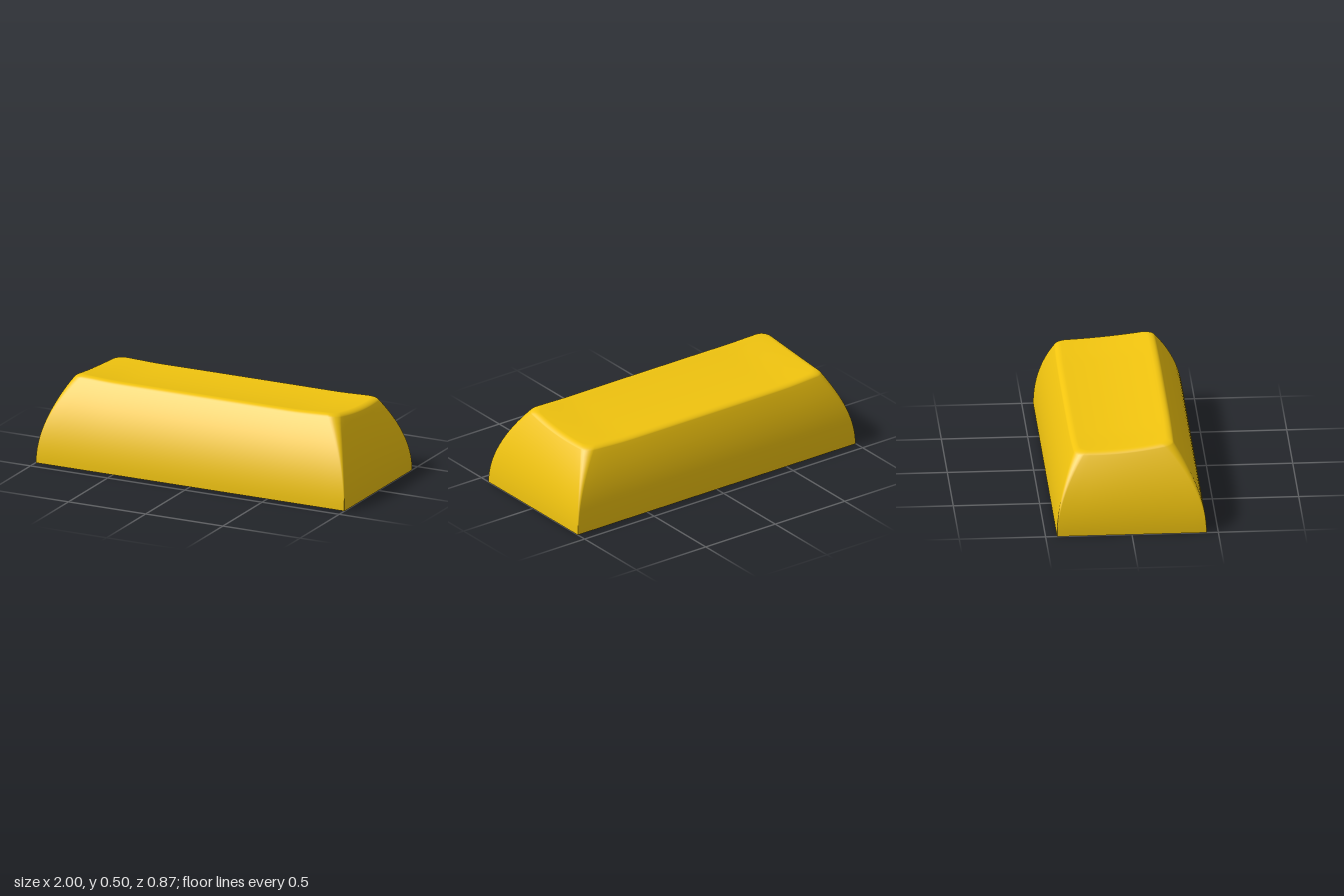
import * as THREE from 'three';

const clamp = THREE.MathUtils.clamp;
const MID_Z = -0.04;
const WALL = 0.075;

// Height of the dished top: a scoop along z whose ends lift slightly
function topHeight(x, z) {
  const w = clamp(z, -0.33, 0.25) - MID_Z;
  return 0.462 + 0.084 * w + 0.185 * w * w + 0.01 * THREE.MathUtils.smoothstep(Math.abs(x), 0.55, 0.86);
}

// Rounded rectangular section at height fraction t, moved inwards by inset
function section(t, inset = 0, shrink = 1) {
  const q = t * t;
  const hx = 1 - 0.14 * q - inset;
  const front = 0.434 - 0.185 * q - inset;
  const back = -0.434 + 0.11 * q + inset;
  const r = 0.004 + 0.055 * q;
  const corners = [[1, 1], [-1, 1], [-1, -1], [1, -1]];
  const arcs = corners.map(([sx, sz], k) => {
    const cx = sx * (hx - r);
    const cz = sz > 0 ? front - r : back + r;
    return Array.from({ length: 7 }, (_, i) => {
      const a = (k + i / 6) * Math.PI / 2;
      return [cx + r * Math.cos(a), cz + r * Math.sin(a)];
    });
  });
  const outline = [];
  arcs.forEach((arc, k) => {
    outline.push(...arc);
    const a = arc[6], b = arcs[(k + 1) % 4][0];
    const n = k % 2 ? 12 : 24;
    for (let i = 1; i < n; i++) {
      outline.push([a[0] + (b[0] - a[0]) * i / n, a[1] + (b[1] - a[1]) * i / n]);
    }
  });
  return outline.map(([px, pz]) => {
    // Edges bow outwards a little towards the top
    const u = px / hx, v = (pz - MID_Z) / 0.3;
    const x = px * (1 - 0.018 * q * Math.min(v * v, 1)) * shrink;
    const z = MID_Z + (pz - MID_Z) * (1 - 0.035 * q * u ** 4) * shrink;
    return [x, t * topHeight(x, z), z];
  });
}

// Skin a stack of closed sections
function loft(rows) {
  const n = rows[0].length;
  const index = [];
  for (let i = 0; i < rows.length - 1; i++) {
    for (let j = 0; j < n; j++) {
      const a = i * n + j, b = i * n + (j + 1) % n;
      index.push(a, a + n, b, b, a + n, b + n);
    }
  }
  const g = new THREE.BufferGeometry();
  g.setAttribute('position', new THREE.Float32BufferAttribute(rows.flat(2), 3));
  g.setIndex(index);
  g.computeVertexNormals();
  return g;
}

export function createModel() {
  const model = new THREE.Group();
  const material = new THREE.MeshStandardMaterial({ color: 0xf1c40f });
  const add = (name, geometry, parent = model) => {
    const mesh = new THREE.Mesh(geometry, material);
    mesh.name = name;
    parent.add(mesh);
    return mesh;
  };

  // Outer shell: curved walls, rounded top edge, dished top
  const outer = [];
  for (let i = 0; i <= 16; i++) outer.push(section(0.96 * i / 16));
  for (let i = 1; i <= 6; i++) {
    const a = i / 6 * Math.PI / 2;
    outer.push(section(0.96 + 0.04 * Math.sin(a), 0.03 * (1 - Math.cos(a))));
  }
  for (let i = 1; i <= 14; i++) outer.push(section(1, 0.03, Math.max(1 - i / 14, 0.001)));
  add('outerShell', loft(outer));

  // Hollow inside: walls and ceiling, skinned from the top down
  const walls = [], ceiling = [];
  for (let i = 0; i <= 10; i++) walls.push(section(0.8 * i / 10, WALL));
  for (let i = 0; i <= 6; i++) ceiling.push(section(0.8, WALL, Math.max(1 - i / 6, 0.001)));
  add('innerWalls', loft(walls.reverse()));
  add('innerCeiling', loft(ceiling.reverse()));
  add('bottomRim', loft([section(0, WALL), section(0)]));

  // Stems with a cross-shaped socket
  const R = 0.118, L = 0.094, W = 0.03, SOCKET = 0.2, TOP = 0.42;
  const disc = new THREE.Shape().absarc(0, 0, R, 0, Math.PI * 2);
  disc.holes.push(new THREE.Path([
    [L, W], [W, W], [W, L], [-W, L], [-W, W], [-L, W],
    [-L, -W], [-W, -W], [-W, -L], [W, -L], [W, -W], [L, -W],
  ].map(([x, y]) => new THREE.Vector2(x, y))));
  const socket = new THREE.ExtrudeGeometry(disc, { depth: SOCKET, bevelEnabled: false, curveSegments: 40 });
  socket.rotateX(-Math.PI / 2);
  const post = new THREE.CylinderGeometry(R, R, TOP - SOCKET, 40);
  post.translate(0, (TOP + SOCKET) / 2, 0);
  for (const x of [-0.582, 0, 0.582]) {
    const stem = new THREE.Group();
    stem.name = 'stem';
    stem.position.x = x;
    add('stemSocket', socket, stem);
    add('stemPost', post, stem);
    model.add(stem);
  }

  // Rib joining the stems
  add('stemRib', new THREE.BoxGeometry(1.164, 0.2, 0.04)).position.y = 0.32;

  return model;
}
